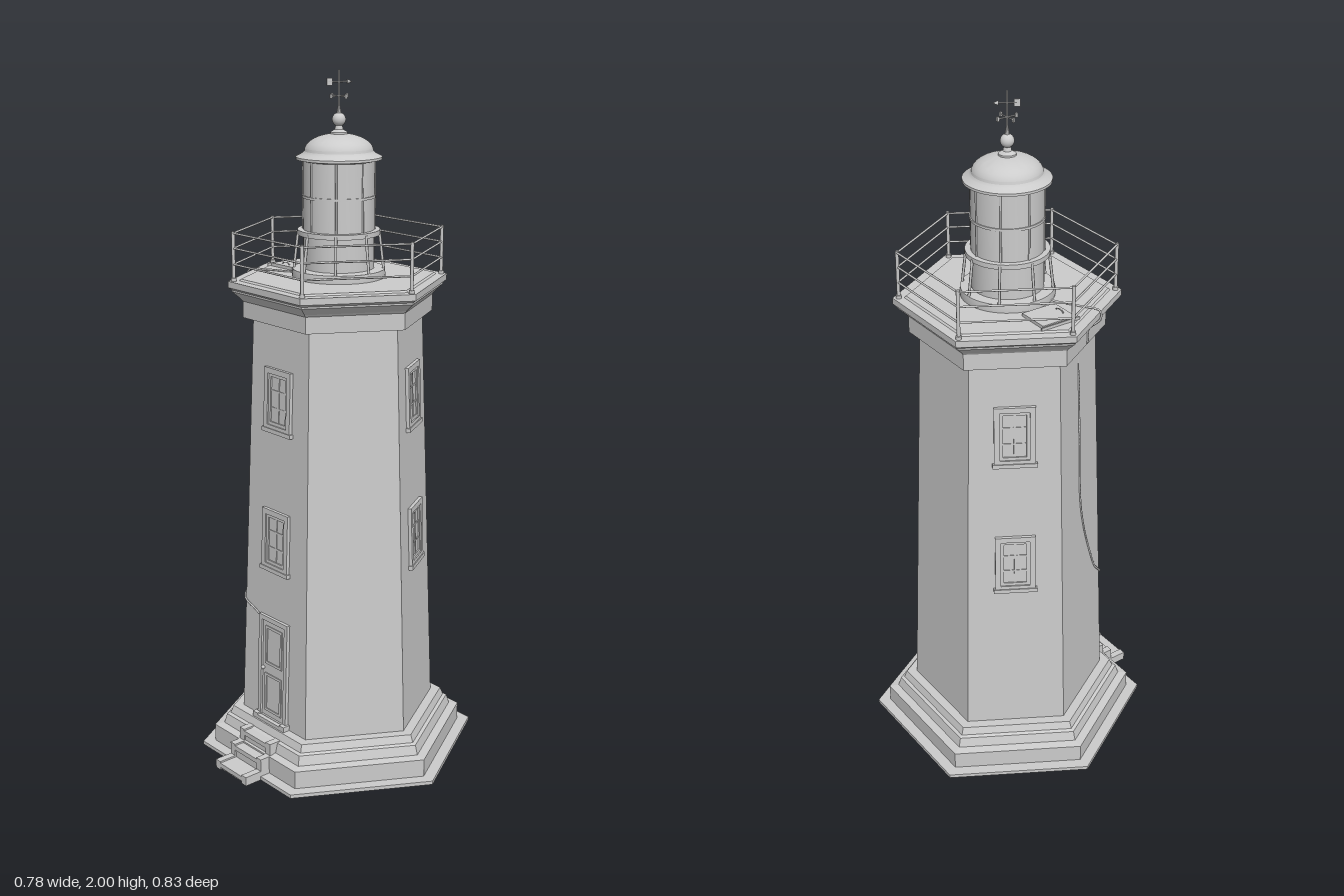
import * as THREE from 'three';
import { toCreasedNormals } from 'three/addons/utils/BufferGeometryUtils.js';

const grey = new THREE.MeshStandardMaterial({ color: 0xcccccc });
const facet = new THREE.MeshStandardMaterial({ color: 0xcccccc, flatShading: true, side: THREE.DoubleSide });
const thin = new THREE.MeshStandardMaterial({ color: 0xcccccc, side: THREE.DoubleSide });

const C30 = Math.cos(Math.PI / 6);
const SLOPE = 0.0342;
const wall = y => 0.253 - SLOPE * (y - 0.12); // distance from axis to a tower face
const rad = THREE.MathUtils.degToRad;

function add(parent, name, geo, x = 0, y = 0, z = 0, mat = grey) {
  const m = new THREE.Mesh(geo, mat);
  m.name = name;
  m.position.set(x, y, z);
  parent.add(m);
  return m;
}
const box = (parent, name, w, h, d, x, y, z) => add(parent, name, new THREE.BoxGeometry(w, h, d), x, y, z);

function lathe(parent, name, pts, sides, mat) {
  let geo = new THREE.LatheGeometry(pts.map(p => new THREE.Vector2(...p)), sides);
  if (sides > 6) geo = toCreasedNormals(geo, 0.6);
  return add(parent, name, geo, 0, 0, 0, mat);
}

// Round bar between two points
function bar(parent, name, a, b, r, sides = 8) {
  const m = add(parent, name, new THREE.CylinderGeometry(r, r, a.distanceTo(b), sides));
  m.position.copy(a).add(b).multiplyScalar(0.5);
  m.quaternion.setFromUnitVectors(new THREE.Vector3(0, 1, 0), b.clone().sub(a).normalize());
}

const polar = (r, deg, y) => new THREE.Vector3(r * Math.sin(rad(deg)), y, r * Math.cos(rad(deg)));

// Point on a tower face: angle of the face, distance out, sideways offset, height
function onFace(deg, out, u, y) {
  const p = polar(out, deg, y);
  p.x += u * Math.cos(rad(deg));
  p.z -= u * Math.sin(rad(deg));
  return p;
}

// Group lying on a sloping face, local +z pointing outward
function faceGroup(parent, name, deg, y) {
  const g = new THREE.Group();
  g.name = name;
  g.position.copy(polar(wall(y), deg, y));
  g.rotation.set(-Math.atan(SLOPE), rad(deg), 0, 'YXZ');
  parent.add(g);
  return g;
}

// Rectangular frame with an open middle
function frame(parent, name, w, h, t, depth, y, z) {
  const s = new THREE.Shape([[-1, -1], [1, -1], [1, 1], [-1, 1]].map(([a, b]) => new THREE.Vector2(a * w / 2, b * h / 2)));
  s.holes.push(new THREE.Path([[-1, -1], [-1, 1], [1, 1], [1, -1]].map(([a, b]) => new THREE.Vector2(a * (w / 2 - t), b * (h / 2 - t)))));
  add(parent, name, new THREE.ExtrudeGeometry(s, { depth, bevelEnabled: false }), 0, y, z);
}

function addWindow(parent, deg, y) {
  const g = faceGroup(parent, 'window', deg, y);
  frame(g, 'windowSurround', 0.115, 0.18, 0.016, 0.02, 0, -0.01);
  frame(g, 'windowSash', 0.083, 0.148, 0.009, 0.012, 0, -0.006);
  box(g, 'windowPane', 0.083, 0.148, 0.006, 0, 0, -0.001);
  box(g, 'mullion', 0.006, 0.14, 0.006, 0, 0, 0.001);
  for (const v of [-0.025, 0.025]) box(g, 'glazingBar', 0.07, 0.005, 0.006, 0, v, 0.001);
  box(g, 'windowSill', 0.125, 0.012, 0.026, 0, -0.09, 0);
}

function addDoor(parent) {
  const g = faceGroup(parent, 'door', -90, 0.285);
  frame(g, 'doorFrame', 0.13, 0.33, 0.014, 0.02, 0, -0.01);
  box(g, 'doorLeaf', 0.104, 0.304, 0.008, 0, 0, 0);
  for (const v of [-0.075, 0.075]) frame(g, 'doorPanel', 0.076, 0.12, 0.008, 0.004, v, 0.003);
  add(g, 'doorKnob', new THREE.SphereGeometry(0.006, 10, 8), -0.044, 0, 0.009);
}

function addSteps(parent) {
  const g = new THREE.Group();
  g.name = 'entranceSteps';
  parent.add(g);
  const starts = [-0.415, -0.36, -0.325, -0.275], end = -0.235;
  starts.forEach((x, i) => {
    const top = 0.022 + i * 0.037, next = starts[i + 1] ?? end;
    const rise = i ? 0.037 : 0.016;
    box(g, 'tread', next - x + 0.006, 0.014, 0.104, (x + next) / 2 + 0.003, top - 0.007, 0);
    box(g, 'riser', 0.008, rise, 0.104, x + 0.008, top - 0.004 - rise / 2, 0);
    for (const s of [-1, 1]) box(g, 'cheek', next - x, top + 0.005, 0.021, (x + next) / 2, (top + 0.005) / 2, s * 0.0615);
  });
}

function addRailing(parent) {
  const g = new THREE.Group();
  g.name = 'galleryRailing';
  parent.add(g);
  for (let i = 0; i < 6; i++) {
    const a = i * 60;
    bar(g, 'railPost', polar(0.298, a, 1.425), polar(0.298, a, 1.567), 0.005);
    add(g, 'postFoot', new THREE.CylinderGeometry(0.008, 0.008, 0.01, 10)).position.copy(polar(0.298, a, 1.432));
    for (const y of [1.475, 1.52, 1.562]) bar(g, 'rail', polar(0.298, a, y), polar(0.298, a + 60, y), 0.003, 6);
  }
}

function addLantern(parent) {
  const g = new THREE.Group();
  g.name = 'lantern';
  parent.add(g);
  lathe(g, 'lanternBase', [[0.13, 1.425], [0.132, 1.44], [0.13, 1.456], [0.099, 1.458]], 48, thin);
  lathe(g, 'lanternBody', [[0.1, 1.45], [0.1, 1.765]], 48, thin);
  lathe(g, 'lanternRing', [[0.098, 1.552], [0.116, 1.552], [0.116, 1.566], [0.098, 1.566]], 48, thin);
  lathe(g, 'glazingRing', [[0.099, 1.655], [0.103, 1.655], [0.103, 1.662], [0.099, 1.662]], 48, thin);
  for (let i = 0; i < 8; i++) {
    bar(g, 'brace', polar(0.127, i * 45, 1.45), polar(0.114, i * 45, 1.56), 0.004, 6);
    bar(g, 'lanternBar', polar(0.1, i * 45, 1.56), polar(0.1, i * 45, 1.765), 0.003, 6);
  }
  // Dome roof with eave, then neck and ball
  const dome = [[0.098, 1.755], [0.12, 1.76], [0.12, 1.767], [0.102, 1.776], [0.096, 1.782]];
  for (let i = 1; i <= 9; i++) {
    const t = i * Math.PI / 20;
    dome.push([0.096 * Math.cos(t), 1.782 + 0.048 * Math.sin(t)]);
  }
  dome.push([0, 1.83]);
  lathe(g, 'domeRoof', dome, 48, thin);
  lathe(g, 'finialNeck', [[0.024, 1.822], [0.024, 1.833], [0.012, 1.84], [0.008, 1.855]], 24, thin);
  add(g, 'finialBall', new THREE.SphereGeometry(0.019, 24, 16), 0, 1.867, 0);
  lathe(g, 'finialTip', [[0.008, 1.88], [0.003, 1.905], [0.0025, 2], [0, 2]], 10, thin);
  // Weather vane
  for (let i = 0; i < 4; i++) {
    const tip = polar(0.029, i * 90, 1.93);
    bar(g, 'compassArm', polar(0, 0, 1.93), tip, 0.002, 6);
    box(g, 'compassTip', 0.006, 0.012, 0.006, tip.x, tip.y, tip.z);
  }
  bar(g, 'vaneArm', polar(0.03, 60, 1.968), polar(0.03, 240, 1.968), 0.002, 6);
  const head = add(g, 'vaneHead', new THREE.ConeGeometry(0.007, 0.016, 8));
  head.position.copy(polar(0.03, 60, 1.968));
  head.quaternion.setFromUnitVectors(new THREE.Vector3(0, 1, 0), polar(1, 60, 0));
  const tail = add(g, 'vaneTail', new THREE.BoxGeometry(0.003, 0.02, 0.016));
  tail.position.copy(polar(0.026, 240, 1.968));
  tail.rotation.y = rad(60);
}

export function createModel() {
  const model = new THREE.Group();
  model.name = 'lighthouse';
  const tower = new THREE.Group();
  tower.name = 'tower';
  tower.position.x = 0.025;
  model.add(tower);

  // Hexagonal shell, open underneath
  lathe(tower, 'plinth', [[0.375, 0], [0.417, 0], [0.417, 0.011], [0.38, 0.011], [0.38, 0.064], [0.352, 0.068],
    [0.343, 0.096], [0.332, 0.1], [0.323, 0.122], [0.29, 0.122]], 6, facet);
  lathe(tower, 'towerWalls', [[0.292, 0.12], [0.2446, 1.323]], 6, facet);
  lathe(tower, 'cornice', [[0.244, 1.323], [0.274, 1.323], [0.274, 1.37], [0.28, 1.377], [0.304, 1.398], [0.304, 1.403],
    [0.315, 1.41], [0.315, 1.428], [0.283, 1.428], [0.278, 1.433], [0, 1.433]], 6, facet);

  for (const deg of [-90, 30, 150]) for (const y of [0.69, 1.105]) addWindow(tower, deg, y);
  addDoor(tower);
  addSteps(tower);
  addRailing(tower);
  addLantern(tower);

  // Deck hatch
  box(tower, 'hatch', 0.106, 0.01, 0.094, 0, 1.437, -0.191);
  box(tower, 'hatchHinge', 0.124, 0.008, 0.004, 0, 1.437, -0.244);
  const handle = add(tower, 'hatchHandle', new THREE.TorusGeometry(0.015, 0.002, 6, 16, Math.PI), -0.036, 1.442, -0.191);
  handle.rotation.y = Math.PI / 2;
  handle.scale.y = 0.4;

  // Cable from the lantern over the cornice and down to the door
  const f = -150;
  const path = [
    polar(0.1, f, 1.445), new THREE.Vector3(-0.066, 1.436, -0.115), new THREE.Vector3(-0.105, 1.436, -0.185),
    onFace(f, 0.272, 0, 1.434), onFace(f, 0.277, 0, 1.425), onFace(f, 0.274, 0, 1.405), onFace(f, 0.242, 0, 1.372),
    onFace(f, 0.239, 0, 1.33), onFace(f, 0.215, 0, 1.312),
    ...[[0, 1.2], [0, 1], [0, 0.82], [0.02, 0.72], [0.06, 0.61], [0.105, 0.515]].map(([u, y]) => onFace(f, wall(y) + 0.001, u, y)),
    polar(wall(0.475) / C30 + 0.003, -120, 0.475),
    onFace(-90, wall(0.455) + 0.002, -0.1, 0.455), onFace(-90, wall(0.44) + 0.003, -0.06, 0.44),
  ];
  add(tower, 'cable', new THREE.TubeGeometry(new THREE.CatmullRomCurve3(path), 120, 0.003, 6));
  return model;
}
